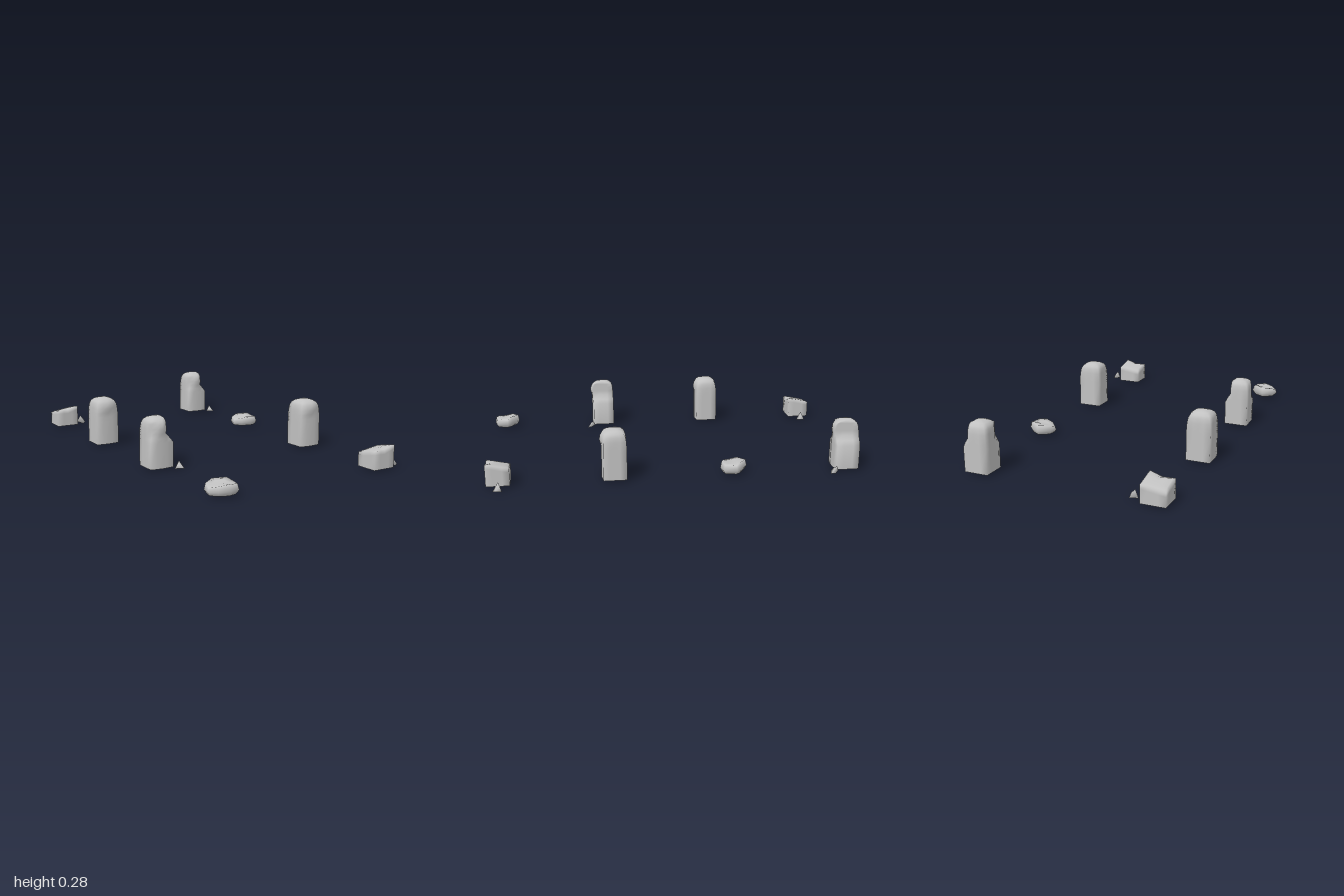
import * as THREE from 'three';
import { toCreasedNormals } from 'three/addons/utils/BufferGeometryUtils.js';
import { ConvexGeometry } from 'three/addons/geometries/ConvexGeometry.js';

const N = 16, HALF = 0.066, BASE = 0.007;
const stone = new THREE.MeshStandardMaterial({ color: 0xc2c2c2, side: THREE.DoubleSide });
stone.name = 'grey stone';

// Weathered stone: normals run smoothly over every edge
const soften = (geometry) => toCreasedNormals(geometry, Math.PI);

// Skin over a stack of rings (each a list of [x, y, z]), bottom to top, with optional end points
function loft(rings, top, bottom) {
  const n = rings[0].length, pos = rings.flat(2), index = [];
  for (let i = 0; i < rings.length - 1; i++) {
    for (let j = 0; j < n; j++) {
      const a = i * n + j, b = i * n + (j + 1) % n;
      index.push(a, a + n, b, b, a + n, b + n);
    }
  }
  const cap = (point, row, flip) => {
    const c = pos.length / 3;
    pos.push(...point);
    for (let j = 0; j < n; j++) {
      const a = row * n + j, b = row * n + (j + 1) % n;
      if (flip) index.push(a, b, c); else index.push(a, c, b);
    }
  };
  cap(top, rings.length - 1, false);
  if (bottom) cap(bottom, 0, true);
  const g = new THREE.BufferGeometry();
  g.setAttribute('position', new THREE.Float32BufferAttribute(pos, 3));
  g.setIndex(index);
  return soften(g);
}

// Square outline blended towards a circle by `round`
function outline(scale, round, yAt, bow = 0) {
  return Array.from({ length: N }, (_, j) => {
    const a = (j / N) * Math.PI * 2, c = Math.cos(a), s = Math.sin(a);
    const square = 1 / Math.max(Math.abs(c), Math.abs(s));
    const r = HALF * scale * (square * (1 - round) + round);
    const x = r * c;
    let z = r * s * 0.94;
    if (s > 0.6) z += bow * (1 - Math.abs(x) / HALF);
    return [x, yAt(x, z), z];
  });
}

// Domed post: [height, scale, roundness, forward bow]
const postRows = [
  [BASE, 1, 0, 0.007], [0.14, 1, 0, 0.007], [0.165, 1, 0, 0.007], [0.19, 1, 0.04, 0.008],
  [0.215, 1, 0.15, 0.016], [0.24, 0.98, 0.3, 0.014], [0.257, 0.88, 0.45, 0.01],
  [0.268, 0.66, 0.6, 0.004], [0.274, 0.35, 0.8, 0],
];

function postGeometry(chipped) {
  const rings = postRows.map(([y, scale, round, bow]) => outline(scale, round, () => y, bow));
  if (chipped) {
    for (const ring of rings) {
      for (const p of ring) {
        const t = THREE.MathUtils.clamp((p[1] - 0.14) / 0.05, 0, 1);
        // Upper +x side broken away down to a sloping ledge
        p[0] = Math.min(p[0], THREE.MathUtils.lerp(0.07, 0.03 - p[2] * 0.12, t));
        // Front -x corner worn back above the ledge
        const over = Math.max(0, p[2] - p[0] - 0.1) * t / 2;
        p[0] += over;
        p[2] -= over;
      }
    }
  }
  return loft(rings, [0, 0.276, 0]);
}

// Low stump with a tilted, worn top, highest at the front +x corner
function stumpGeometry() {
  const height = (x, z) => {
    const u = x / HALF, v = z / (HALF * 0.94);
    const dip = v > 0.5 ? 0.012 * (1 - Math.abs(u)) : 0;
    return 0.104 + 0.0098 * u + 0.0137 * v - dip;
  };
  return loft([
    outline(1, 0, () => BASE),
    outline(1, 0, (x, z) => height(x, z) - 0.02),
    outline(1, 0, height),
    outline(0.85, 0.05, (x, z) => height(x, z) + 0.004),
    outline(0.45, 0.2, (x, z) => height(x, z) + 0.005),
  ], [0, 0.11, 0]);
}

// Broken-off dome lying on the ground, with a ragged upper rim
function capGeometry() {
  const rim = [
    [0.082, -0.008], [0.067, 0.06], [0.014, 0.071], [-0.04, 0.05],
    [-0.076, 0.013], [-0.066, -0.035], [-0.002, -0.077], [0.061, -0.035],
  ];
  const rimY = [0.062, 0.064, 0.068, 0.06, 0.05, 0.063, 0.069, 0.076];
  const ring = (scale, yAt) => rim.map(([x, z], i) => [x * scale, yAt(rimY[i]), z * scale]);
  return loft([
    ring(0.82, () => 0.012),
    ring(1, (y) => 0.3 * y + 0.014),
    ring(0.9, (y) => y),
    ring(0.5, (y) => 0.5 * y + 0.03),
  ], [0, 0.06, 0], [0, BASE, 0]);
}

// Small broken shard
function shardGeometry(points) {
  return soften(new ConvexGeometry(points.map((p) => new THREE.Vector3(...p))));
}

export function createModel() {
  const group = new THREE.Group();
  const post = postGeometry(false), chippedPost = postGeometry(true);
  const stump = stumpGeometry(), cap = capGeometry();
  const stumpShard = shardGeometry([
    [-0.026, 0.01, -0.012], [0.02, 0.006, -0.022], [0.022, 0.008, 0.014],
    [0.002, 0, 0.027], [-0.005, 0.05, -0.004], [0.014, 0.03, -0.01],
  ]);
  const postShard = shardGeometry([
    [-0.028, 0.003, 0.005], [-0.004, 0.01, -0.025], [0.026, 0.006, -0.002],
    [0.019, 0.002, 0.021], [0.006, 0.038, -0.014], [-0.012, 0.022, 0],
  ]);

  const add = (name, geometry, x, z) => {
    const mesh = new THREE.Mesh(geometry, stone);
    mesh.name = name;
    mesh.position.set(x, 0, z);
    group.add(mesh);
  };

  // The same four stones in two rows, the second row shifted along z
  const rows = [
    { side: 'right', x: -0.513, z: { stump: -0.94, post: -0.337, chipped: 0.318, cap: 0.923 } },
    { side: 'left', x: 0.447, z: { stump: 0.924, post: 0.318, chipped: -0.938, cap: -0.317 } },
  ];
  for (const { side, x, z } of rows) {
    add(`${side} stump`, stump, x, z.stump);
    add(`${side} stump shard`, stumpShard, x + 0.116, z.stump - 0.002);
    add(`${side} whole post`, post, x, z.post);
    add(`${side} chipped post`, chippedPost, x, z.chipped);
    add(`${side} chipped post shard`, postShard, x + 0.088, z.chipped + 0.083);
    add(`${side} fallen post cap`, cap, x + 0.005, z.cap);
  }
  return group;
}
